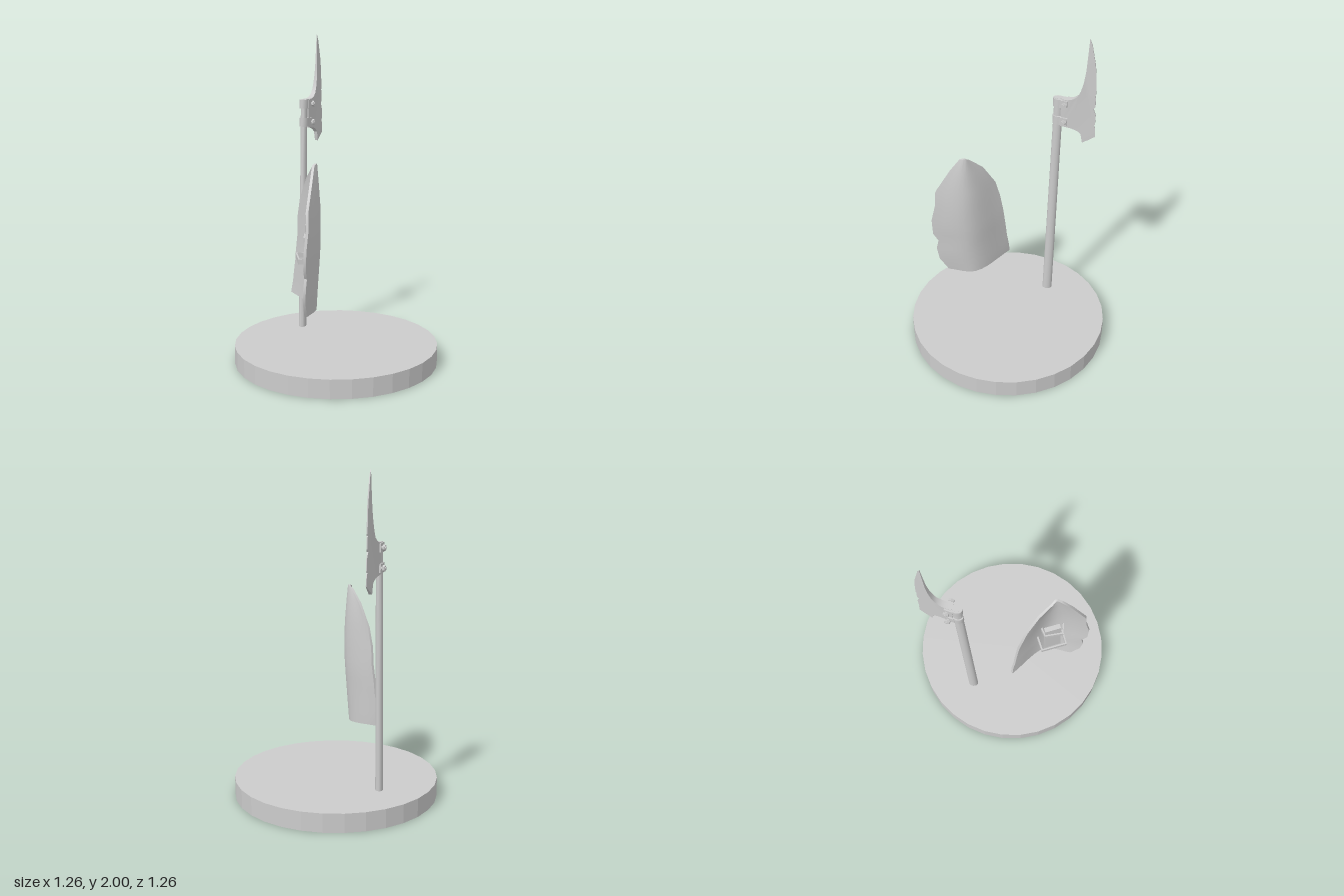
import * as THREE from 'three';
import { toCreasedNormals } from 'three/addons/utils/BufferGeometryUtils.js';

const grey = new THREE.MeshStandardMaterial({ color: 0xcccccc });
grey.name = 'plain grey';

function add(parent, name, geometry, x = 0, y = 0, z = 0) {
  const mesh = new THREE.Mesh(geometry, grey);
  mesh.name = name;
  mesh.position.set(x, y, z);
  parent.add(mesh);
  return mesh;
}

// Curved shield plate: each row gives back edge, ridge and front edge (x, y, z)
function shieldGeometry() {
  const rows = [
    [-.27, .425, .02, -.063, .395, .22, -.07, .392, .40],
    [-.255, .50, .025, -.055, .485, .23, -.062, .48, .455],
    [-.245, .57, .035, -.048, .57, .235, -.056, .57, .47],
    [-.235, .635, .04, -.042, .635, .24, -.053, .635, .455],
    [-.23, .69, .045, -.038, .69, .24, -.05, .69, .487],
    [-.215, .80, .056, -.03, .80, .245, -.045, .80, .49],
    [-.208, .915, .075, -.028, .915, .25, -.04, .915, .463],
    [-.185, 1.03, .10, -.03, 1.03, .25, -.042, 1.02, .455],
    [-.125, 1.17, .165, -.037, 1.17, .26, -.045, 1.18, .36],
    [-.07, 1.25, .235, -.045, 1.272, .262, -.05, 1.262, .30],
  ];
  const n = 12, thick = 0.016, ring = 2 * (n + 1);
  const positions = [], index = [];
  for (const r of rows) {
    const curve = new THREE.CatmullRomCurve3([0, 3, 6].map(k => new THREE.Vector3(r[k], r[k + 1], r[k + 2])));
    const outer = [], inner = [];
    for (let j = 0; j <= n; j++) {
      const p = curve.getPoint(j / n), t = curve.getTangent(j / n);
      outer.push(p);
      inner.unshift(new THREE.Vector3(p.x - t.z * thick, p.y, p.z + t.x * thick));
    }
    for (const p of [...outer, ...inner]) positions.push(p.x, p.y, p.z);
  }
  for (let i = 0; i < rows.length - 1; i++) {
    for (let j = 0; j < ring; j++) {
      const a = i * ring + j, b = i * ring + (j + 1) % ring;
      index.push(a, a + ring, b, b, a + ring, b + ring);
    }
  }
  // Close the lower and upper rims
  const top = (rows.length - 1) * ring;
  for (let j = 0; j < n; j++) {
    const k = ring - 1 - j;
    index.push(j, j + 1, k - 1, j, k - 1, k);
    index.push(top + j, top + k - 1, top + j + 1, top + j, top + k, top + k - 1);
  }
  const g = new THREE.BufferGeometry();
  g.setAttribute('position', new THREE.Float32BufferAttribute(positions, 3));
  g.setIndex(index);
  return toCreasedNormals(g, 0.7);
}

// Flat strap following points (x, z) at one height
function addStrap(parent, name, points, y, height) {
  const strap = new THREE.Group();
  strap.name = name;
  const t = 0.009;
  for (let i = 0; i < points.length - 1; i++) {
    const [x0, z0] = points[i], [x1, z1] = points[i + 1];
    const len = Math.hypot(x1 - x0, z1 - z0);
    const part = add(strap, 'strapSection', new THREE.BoxGeometry(len + t, height, t), (x0 + x1) / 2, y, (z0 + z1) / 2);
    part.rotation.y = Math.atan2(z0 - z1, x1 - x0);
  }
  parent.add(strap);
}

// Blade outline (reach, height), thinned towards the cutting edge and the point
function bladeGeometry() {
  const outline = [
    [.02, 1.6], [.055, 1.6], [.08, 1.605], [.098, 1.615], [.118, 1.632], [.134, 1.667], [.148, 1.72], [.158, 1.79],
    [.164, 1.894], [.169, 2.0], [.184, 1.965], [.196, 1.91], [.209, 1.85], [.217, 1.79], [.222, 1.7], [.224, 1.66],
    [.219, 1.65], [.224, 1.635], [.224, 1.577], [.213, 1.562], [.229, 1.524], [.228, 1.46],
    [.222, 1.45], [.229, 1.435], [.234, 1.376], [.19, 1.345], [.176, 1.337], [.158, 1.323], [.15, 1.36],
    [.147, 1.38], [.13, 1.397], [.109, 1.407], [.08, 1.415], [.02, 1.42],
  ];
  const shape = new THREE.Shape(outline.map(([u, v]) => new THREE.Vector2(u, v)));
  const g = new THREE.ExtrudeGeometry(shape, { depth: 1, bevelEnabled: false });
  const p = g.attributes.position;
  for (let i = 0; i < p.count; i++) {
    const edge = THREE.MathUtils.clamp((0.232 - p.getX(i)) / 0.16, 0, 1);
    const tip = THREE.MathUtils.clamp((2.0 - p.getY(i)) / 0.3, 0, 1);
    p.setZ(i, (p.getZ(i) - 0.5) * (0.004 + 0.036 * edge * tip));
  }
  return toCreasedNormals(g, 0.5);
}

export function createModel() {
  const model = new THREE.Group();
  model.name = 'weaponDisplay';

  // Round base
  add(model, 'base', toCreasedNormals(new THREE.CylinderGeometry(0.63, 0.63, 0.115, 32), 0.1), 0, 0.0575, 0);

  // Leaning oval pole
  const pole = new THREE.CylinderGeometry(0.022, 0.026, 1.5, 16, 4);
  pole.scale(0.9, 1, 1.2);
  const pp = pole.attributes.position;
  for (let i = 0; i < pp.count; i++) {
    const t = pp.getY(i) / 1.5 + 0.5;
    pp.setX(i, pp.getX(i) - 0.289 + 0.011 * t);
    pp.setZ(i, pp.getZ(i) - 0.237 - 0.033 * t);
  }
  add(model, 'pole', toCreasedNormals(pole, 0.7), 0, 0.85, 0);

  // Axe head, turned so its local +x is the cutting direction
  const head = new THREE.Group();
  head.name = 'axeHead';
  head.position.set(-0.278, 0, -0.27);
  head.rotation.y = 1.34;
  add(head, 'blade', bladeGeometry());
  for (const y of [1.57, 1.455]) {
    const collar = new THREE.CylinderGeometry(0.031, 0.031, 0.055, 16);
    collar.scale(1.12, 1, 0.9);
    add(head, 'collar', toCreasedNormals(collar, 0.7), 0, y, 0);
    for (const s of [-1, 1]) add(head, 'collarTab', new THREE.BoxGeometry(0.05, 0.05, 0.009), 0.037, y, s * 0.024);
    const bolt = new THREE.CylinderGeometry(0.009, 0.009, 0.108, 10);
    bolt.rotateX(Math.PI / 2);
    add(head, 'bolt', toCreasedNormals(bolt, 0.8), 0.046, y, 0);
    for (const s of [-1, 1]) {
      const nut = new THREE.CylinderGeometry(0.018, 0.018, 0.014, 6);
      nut.rotateX(Math.PI / 2);
      add(head, 'boltHead', toCreasedNormals(nut, 0.3), 0.046, y, s * 0.043);
    }
  }
  model.add(head);

  // Shield with forearm pad and straps on its hollow side
  const shield = new THREE.Group();
  shield.name = 'shield';
  add(shield, 'shieldPlate', shieldGeometry());
  const pad = add(shield, 'forearmPad', new THREE.BoxGeometry(0.1, 0.32, 0.03), -0.098, 0.745, 0.265);
  pad.rotation.set(0, -1.19, 0.04);
  addStrap(shield, 'largeStrap', [[-.11, .175], [-.19, .21], [-.13, .355], [-.05, .325]], 0.708, 0.03);
  addStrap(shield, 'smallStrap', [[-.09, .195], [-.135, .22], [-.105, .325], [-.045, .325]], 0.828, 0.032);
  model.add(shield);

  return model;
}
